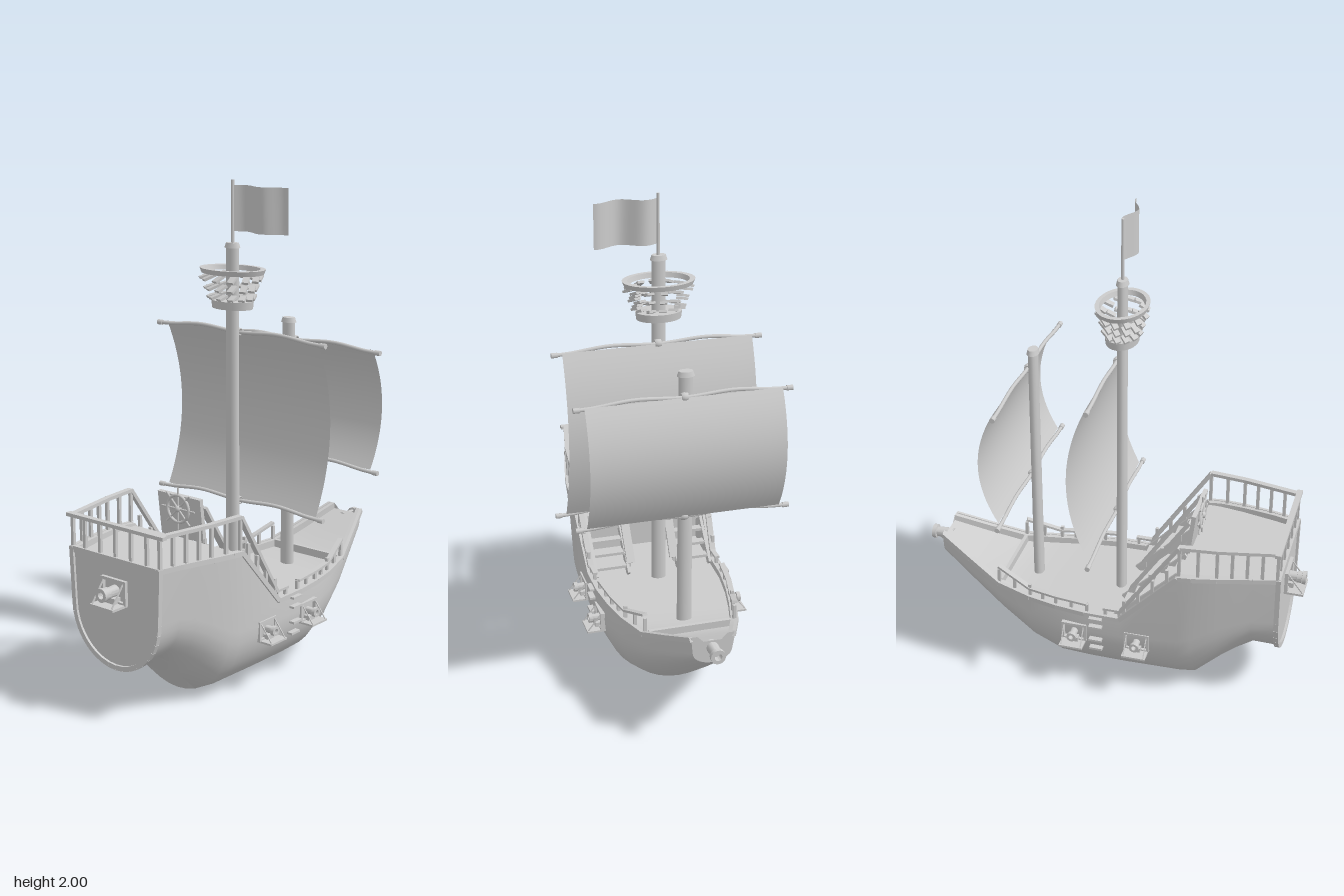
import * as THREE from 'three';
import { toCreasedNormals } from 'three/addons/utils/BufferGeometryUtils.js';

const mat = new THREE.MeshStandardMaterial({ color: 0xcccccc });
const matTwo = new THREE.MeshStandardMaterial({ color: 0xcccccc, side: THREE.DoubleSide });
const V = (x, y, z) => new THREE.Vector3(x, y, z);

function add(parent, name, geo, x = 0, y = 0, z = 0, m = mat) {
  const mesh = new THREE.Mesh(geo, m);
  mesh.name = name;
  mesh.position.set(x, y, z);
  parent.add(mesh);
  return mesh;
}
const box = (p, name, w, h, d, x, y, z) => add(p, name, new THREE.BoxGeometry(w, h, d), x, y, z);

// Square bar between two points
function beam(p, name, a, b, w, h = w) {
  const mid = a.clone().add(b).multiplyScalar(0.5);
  const bar = add(p, name, new THREE.BoxGeometry(w, h, a.distanceTo(b)), mid.x, mid.y, mid.z);
  bar.lookAt(b);
}
function path(p, name, pts, w, h) {
  for (let i = 1; i < pts.length; i++) beam(p, name, pts[i - 1], pts[i], w, h);
}
// Row of posts standing on the line a-b
function posts(p, a, b, count, height) {
  for (let i = 0; i < count; i++) {
    const q = a.clone().lerp(b, i / (count - 1));
    box(p, 'railPost', 0.013, height, 0.013, q.x, q.y + height / 2, q.z);
  }
}

// Hull stations: x, keel y, widest y, widest half beam, rim y, rim half beam, deck y
const stations = [
  [-0.74, 0.2, 0.42, 0.215, 0.64, 0.225, 0.615],
  [-0.64, 0.215, 0.42, 0.235, 0.64, 0.25, 0.615],
  [-0.57, 0.165, 0.4, 0.25, 0.638, 0.265, 0.615],
  [-0.5, 0.105, 0.37, 0.265, 0.635, 0.28, 0.615],
  [-0.4, 0.005, 0.31, 0.28, 0.63, 0.295, 0.615],
  [-0.345, 0, 0.29, 0.283, 0.625, 0.295, 0.615],
  [-0.344, 0, 0.29, 0.283, 0.624, 0.295, 0.335],
  [-0.1, 0, 0.27, 0.285, 0.36, 0.28, 0.335],
  [0.05, 0, 0.27, 0.283, 0.36, 0.278, 0.335],
  [0.18, 0, 0.27, 0.27, 0.36, 0.262, 0.335],
  [0.3, 0.05, 0.28, 0.242, 0.362, 0.237, 0.335],
  [0.45, 0.16, 0.31, 0.19, 0.375, 0.195, 0.345],
  [0.6, 0.272, 0.37, 0.132, 0.438, 0.138, 0.41],
  [0.74, 0.38, 0.43, 0.078, 0.5, 0.085, 0.475],
];

// Closed cross-section: bottom, left side, rim, deck and mirrored right side
function section([x, yk, ym, bm, yt, bt, yd]) {
  const half = [];
  for (let i = 0; i <= 9; i++) {
    const a = (i / 9) * Math.PI / 2;
    half.push(V(x, ym - (ym - yk) * Math.cos(a), bm * Math.sin(a)));
  }
  half.push(V(x, yt, bt), V(x, yt, bt - 0.025), V(x, yd, bt - 0.026));
  const mirrored = half.slice(1).reverse().map((p) => V(p.x, p.y, -p.z));
  return [...half, ...mirrored];
}

function hullGeometry() {
  const loops = stations.map(section);
  const pos = [];
  const tri = (...ps) => ps.forEach((p) => pos.push(p.x, p.y, p.z));
  const n = loops[0].length;
  for (let j = 0; j < loops.length - 1; j++) {
    for (let i = 0; i < n; i++) {
      const k = (i + 1) % n;
      const a = loops[j][i], b = loops[j + 1][i], c = loops[j + 1][k], d = loops[j][k];
      tri(a, b, c);
      tri(a, c, d);
    }
  }
  // Stern and bow caps
  const stern = loops[0], bow = loops[loops.length - 1];
  for (let i = 0; i < n; i++) {
    const k = (i + 1) % n;
    tri(V(-0.74, 0.45, 0), stern[i], stern[k]);
    tri(V(0.74, 0.44, 0), bow[k], bow[i]);
  }
  const geo = new THREE.BufferGeometry();
  geo.setAttribute('position', new THREE.Float32BufferAttribute(pos, 3));
  return toCreasedNormals(geo, 0.65);
}

// Hollow barrel along +z
function barrel(p, name, r, len) {
  const pts = [[0, 0], [r, 0], [r * 0.85, len * 0.8], [r * 1.2, len * 0.82], [r * 1.2, len],
    [r * 0.6, len], [r * 0.6, len * 0.7], [0, len * 0.7]].map(([a, b]) => new THREE.Vector2(a, b));
  const mesh = add(p, name, toCreasedNormals(new THREE.LatheGeometry(pts, 14), 0.6));
  mesh.rotation.x = Math.PI / 2;
  return mesh;
}

// Gun port facing +z: frame, lowered lid, stays and cannon
function gunPort(p, x, y, z, turn, size = 1) {
  const g = new THREE.Group();
  g.name = 'gunPort';
  for (const s of [-1, 1]) {
    box(g, 'portFrame', 0.01, 0.08, 0.03, s * 0.048, 0, -0.005);
    box(g, 'portFrame', 0.106, 0.01, 0.03, 0, s * 0.036, -0.005);
    beam(g, 'lidStay', V(s * 0.042, 0.035, 0.005), V(s * 0.042, -0.036, 0.06), 0.004);
  }
  box(g, 'portLid', 0.1, 0.008, 0.07, 0, -0.041, 0.03);
  box(g, 'cannonRest', 0.04, 0.02, 0.04, 0, -0.028, 0.005);
  barrel(g, 'cannon', 0.017, 0.085).position.z = -0.035;
  g.position.set(x, y, z);
  g.rotation.y = turn;
  g.scale.setScalar(size);
  p.add(g);
}

// Square sail bulging toward +x between two bent yards
function sail(p, x, y0, y1, bulge) {
  const geo = new THREE.PlaneGeometry(0.78, y1 - y0, 12, 20);
  geo.rotateY(Math.PI / 2);
  const at = geo.attributes.position, h = (y1 - y0) / 2;
  for (let i = 0; i < at.count; i++) at.setX(i, bulge * (1 - (at.getY(i) / h) ** 2));
  geo.computeVertexNormals();
  add(p, 'sail', geo, x, (y0 + y1) / 2, 0, matTwo);
  for (const y of [y0, y1]) {
    const pts = [-0.43, -0.36, -0.2, 0, 0.2, 0.36, 0.43].map((z, i) =>
      V(x - 0.008, y + [-0.008, -0.006, 0.009, -0.002, 0.009, -0.006, -0.008][i], z));
    add(p, 'yard', new THREE.TubeGeometry(new THREE.CatmullRomCurve3(pts), 24, 0.008, 8));
    for (const s of [-1, 1]) {
      add(p, 'yardEnd', new THREE.CylinderGeometry(0.011, 0.011, 0.025, 8), x - 0.008, y - 0.008, s * 0.42)
        .rotation.x = Math.PI / 2;
    }
    const lash = add(p, 'yardLashing', new THREE.TorusGeometry(0.013, 0.005, 6, 12), x - 0.01, y, 0);
    lash.scale.z = 3;
  }
}

// Oval mast with a cap
function mast(p, x, z, y0, y1) {
  const g = new THREE.Group();
  g.name = 'mast';
  add(g, 'mastPole', new THREE.CylinderGeometry(0.02, 0.022, y1 - y0, 14), 0, (y0 + y1) / 2, 0);
  add(g, 'mastCap', new THREE.CylinderGeometry(0.02, 0.025, 0.02, 14), 0, y1, 0);
  g.position.set(x, 0, z);
  g.scale.z = 1.42;
  p.add(g);
  return g;
}

export function createModel() {
  const ship = new THREE.Group();
  ship.name = 'sailingShip';
  add(ship, 'hull', hullGeometry(), 0, 0, 0, matTwo);

  for (const s of [-1, 1]) {
    // Rim moulding along the top of the hull
    path(ship, 'rimMoulding', stations.map((q) => V(q[0], q[4] - 0.008, s * q[5])), 0.014, 0.02);

    // Rear deck railing, sloping stair railing and main deck railing
    const rear = [V(-0.735, 0.64, s * 0.225), V(-0.5, 0.635, s * 0.272), V(-0.35, 0.63, s * 0.288)];
    posts(ship, rear[0], rear[1], 5, 0.125);
    posts(ship, rear[1], rear[2], 3, 0.125);
    const top = rear.map((q) => V(q.x, 0.763, q.z));
    path(ship, 'rearRail', [...top, V(-0.1, 0.385, s * 0.27)], 0.024, 0.014);
    posts(ship, V(-0.3, 0.565, s * 0.285), V(-0.12, 0.37, s * 0.275), 4, 0.08);
    beam(ship, 'mainRail', V(-0.11, 0.39, s * 0.268), V(-0.03, 0.39, s * 0.268), 0.02, 0.01);
    posts(ship, V(-0.1, 0.355, s * 0.268), V(-0.04, 0.355, s * 0.268), 2, 0.035);
    const main = [V(0.04, 0.395, s * 0.266), V(0.18, 0.395, s * 0.25), V(0.3, 0.395, s * 0.225), V(0.45, 0.452, s * 0.185)];
    path(ship, 'mainRail', main, 0.022, 0.01);
    for (let i = 0; i < 3; i++) {
      const drop = (q, d) => V(q.x, q.y - d, q.z);
      posts(ship, drop(main[i], 0.04), drop(main[i + 1], i === 2 ? 0.075 : 0.04), 3, i === 2 ? 0.06 : 0.04);
    }

    // Stairs on each side of the middle
    for (let i = 0; i < 6; i++) {
      box(ship, 'stairTread', 0.034, 0.012, 0.14, -0.325 + i * 0.043, 0.58 - i * 0.042, s * 0.18);
    }
    for (const z of [0.11, 0.25]) {
      beam(ship, 'stairStringer', V(-0.345, 0.6, s * z), V(-0.08, 0.34, s * z), 0.012, 0.035);
    }
    beam(ship, 'stairHandrail', V(-0.35, 0.765, s * 0.1), V(-0.1, 0.38, s * 0.095), 0.036, 0.012);
    posts(ship, V(-0.34, 0.6, s * 0.1), V(-0.11, 0.36, s * 0.1), 4, 0.035);

    // Gun ports and boarding rungs on the sides
    for (const x of [-0.177, 0.092]) gunPort(ship, x, 0.257, s * 0.28, s > 0 ? 0 : Math.PI);
    for (const y of [0.19, 0.24, 0.305, 0.345]) {
      box(ship, 'boardingRung', 0.055, 0.009, 0.04, -0.003, y, s * (y < 0.22 ? 0.275 : 0.285));
    }
  }

  // Stern railing, raised rim and rear cannon
  beam(ship, 'sternRail', V(-0.735, 0.763, -0.25), V(-0.735, 0.763, 0.25), 0.024, 0.014);
  posts(ship, V(-0.735, 0.62, -0.16), V(-0.735, 0.62, 0.16), 5, 0.14);
  beam(ship, 'sternMoulding', V(-0.74, 0.63, -0.23), V(-0.74, 0.63, 0.23), 0.016, 0.025);
  const outline = section(stations[0]).filter((q) => Math.abs(q.z) > 0.2 || q.y < 0.6);
  path(ship, 'sternRim', [...outline.slice(-10), ...outline.slice(0, 11)], 0.02, 0.02);
  gunPort(ship, -0.742, 0.51, 0, -Math.PI / 2, 1.2);
  barrel(ship, 'sternCannonBarrel', 0.023, 0.085).position.set(-0.735, 0.51, 0);
  ship.children[ship.children.length - 1].rotation.set(0, 0, Math.PI / 2);

  // Bowsprit stub
  const bow = barrel(ship, 'bowsprit', 0.025, 0.095);
  bow.position.set(0.72, 0.445, 0);
  bow.rotation.set(0, 0, -Math.PI / 2);
  beam(ship, 'foredeckStep', V(0.45, 0.36, -0.17), V(0.45, 0.36, 0.17), 0.015, 0.035);

  // Steering wheel on its board
  box(ship, 'wheelBoard', 0.018, 0.18, 0.22, -0.355, 0.71, -0.005).rotation.z = 0.12;
  const wheel = new THREE.Group();
  wheel.name = 'steeringWheel';
  add(wheel, 'wheelRim', new THREE.TorusGeometry(0.055, 0.006, 8, 24));
  add(wheel, 'wheelHub', new THREE.SphereGeometry(0.014, 10, 8));
  for (let i = 0; i < 4; i++) {
    add(wheel, 'wheelSpoke', new THREE.CylinderGeometry(0.004, 0.004, 0.17, 6)).rotation.z = i * Math.PI / 4;
  }
  wheel.position.set(-0.378, 0.745, -0.005);
  wheel.rotation.y = Math.PI / 2;
  ship.add(wheel);

  // Masts and sails
  const mainMast = mast(ship, -0.038, -0.01, 0.33, 1.745);
  mast(ship, 0.33, -0.012, 0.33, 1.4);
  sail(ship, -0.005, 0.7, 1.398, 0.087);
  sail(ship, 0.365, 0.815, 1.315, 0.075);

  // Crow's nest
  const r = [[0.066, 1.525], [0.07, 1.56], [0.08, 1.6], [0.097, 1.64]];
  add(mainMast, 'nestFloor', new THREE.CylinderGeometry(0.067, 0.064, 0.032, 24), 0, 1.512, 0);
  const rim = [[0.083, 1.635], [0.098, 1.635], [0.104, 1.655], [0.088, 1.655], [0.083, 1.635]];
  add(mainMast, 'nestRim', toCreasedNormals(new THREE.LatheGeometry(rim.map((q) => new THREE.Vector2(...q)), 28), 0.6), 0, 0, 0, matTwo);
  for (let i = 0; i < 12; i++) {
    const a = (i / 12) * Math.PI * 2;
    const pts = r.map(([d, y]) => V((d - 0.005) * Math.cos(a), y, (d - 0.005) * Math.sin(a)));
    path(mainMast, 'nestSlat', pts, 0.02, 0.01);
  }

  // Flagpole and waving flag
  add(ship, 'flagpole', new THREE.CylinderGeometry(0.006, 0.007, 0.26, 8), -0.038, 1.87, -0.008);
  const flag = new THREE.PlaneGeometry(0.255, 0.18, 24, 1);
  flag.rotateY(Math.PI / 2);
  const fp = flag.attributes.position;
  for (let i = 0; i < fp.count; i++) fp.setX(i, 0.02 * Math.sin((fp.getZ(i) + 0.1275) * 32));
  flag.computeVertexNormals();
  add(ship, 'flag', flag, -0.038, 1.89, 0.125, matTwo);
  return ship;
}
